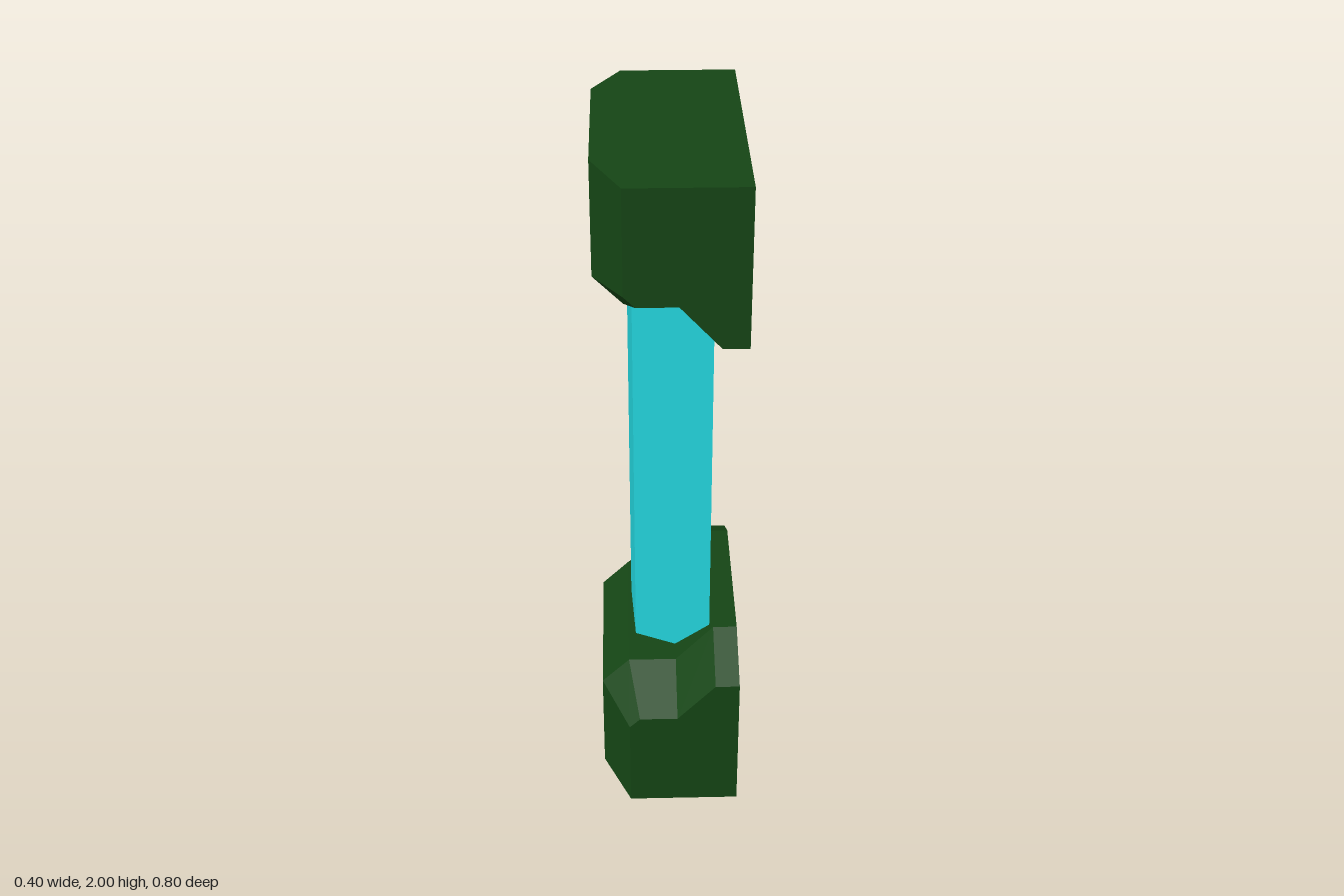
import * as THREE from 'three';

const green = new THREE.MeshStandardMaterial({ color: 0x154515, flatShading: true });
const cyan = new THREE.MeshStandardMaterial({ color: 0x22d0d8, flatShading: true });

// Lofts [x, y] sections along z, each starting at a corner that sees the whole section.
function loft(sections, flip) {
  const pos = [];
  const tri = (a, b, c) => {
    for (const p of flip ? [a, c, b] : [a, b, c]) pos.push(p[0], flip ? 2 - p[1] : p[1], p[2]);
  };
  const rings = sections.map(({ z, points }) => points.map(([x, y]) => [x, y, z]));
  const n = rings[0].length;
  for (let s = 0; s < rings.length - 1; s++) {
    const a = rings[s], b = rings[s + 1];
    for (let i = 0; i < n; i++) {
      const j = (i + 1) % n;
      tri(a[i], a[j], b[j]);
      tri(a[i], b[j], b[i]);
    }
  }
  const back = rings[0], front = rings[rings.length - 1];
  for (let i = 1; i < n - 1; i++) {
    tri(front[0], front[i], front[i + 1]);
    tri(back[0], back[i + 1], back[i]);
  }
  const geo = new THREE.BufferGeometry();
  geo.setAttribute('position', new THREE.Float32BufferAttribute(pos, 3));
  geo.computeVertexNormals();
  return geo;
}

// Stepped block with bevelled rim and two cut corners; flip gives the upper one.
function block(name, flip) {
  const end = [[0.2, 0], [0.2, 0.44], [0.13, 0.44], [0.02, 0.32], [-0.09, 0.32], [-0.12, 0.29], [-0.12, 0]];
  const mid = [[0.2, 0], [0.2, 0.52], [0.13, 0.52], [0.02, 0.4], [-0.12, 0.4], [-0.2, 0.32], [-0.2, 0]];
  const geo = loft([
    { z: -0.4, points: end },
    { z: -0.26, points: mid },
    { z: 0.225, points: mid },
    { z: 0.4, points: end },
  ], flip);
  const mesh = new THREE.Mesh(geo, green);
  mesh.name = name;
  return mesh;
}

// Irregular prism between the blocks
function column() {
  const outline = [[0.12, 0.2], [0.12, -0.21], [0.11, -0.218], [-0.1, -0.155], [-0.11, -0.118], [-0.098, 0.1]];
  const shape = new THREE.Shape(outline.map(([x, z]) => new THREE.Vector2(x, -z)));
  const geo = new THREE.ExtrudeGeometry(shape, { depth: 1.4, bevelEnabled: false });
  geo.rotateX(-Math.PI / 2).translate(0, 0.3, 0);
  const mesh = new THREE.Mesh(geo, cyan);
  mesh.name = 'column';
  return mesh;
}

export function createModel() {
  const model = new THREE.Group();
  model.name = 'pillar';
  model.add(block('baseBlock', false), block('topBlock', true), column());
  return model;
}
